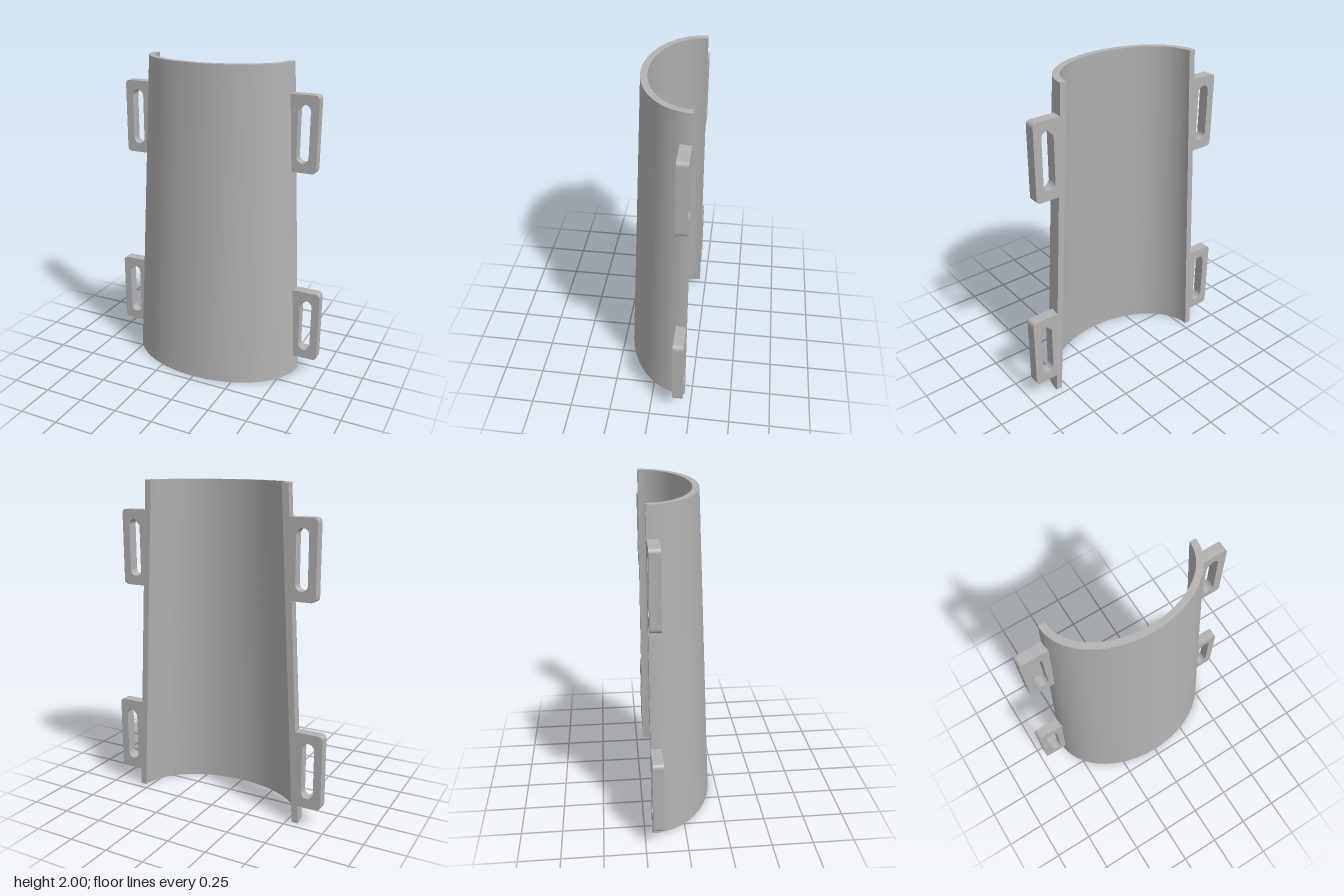
import * as THREE from 'three';
import { mergeGeometries } from 'three/addons/utils/BufferGeometryUtils.js';

const BACK = -0.205, HEIGHT = 2, WALL = 0.04, SEGMENTS = 64;
const BOTTOM = { w: 0.573, d: 0.41 }, TOP = { w: 0.468, d: 0.33 };

// Half-ellipse running from +x round the front to -x
function halfEllipse({ w, d }, y, inset) {
  return Array.from({ length: SEGMENTS + 1 }, (_, i) => {
    const t = (Math.PI * i) / SEGMENTS;
    return [(w - inset) * Math.cos(t), y, BACK + (d - inset) * Math.sin(t)];
  });
}

// Smooth strip of quads between two rows of points
function strip(p, q) {
  const n = p.length, index = [];
  for (let i = 0; i < n - 1; i++) index.push(i, n + i, i + 1, i + 1, n + i, n + i + 1);
  const g = new THREE.BufferGeometry();
  g.setAttribute('position', new THREE.Float32BufferAttribute([...p, ...q].flat(), 3));
  g.setIndex(index);
  g.computeVertexNormals();
  return g;
}

// Tapered half-tube with wall thickness
function shellGeometry() {
  const ob = halfEllipse(BOTTOM, 0, 0), ot = halfEllipse(TOP, HEIGHT, 0);
  const ib = halfEllipse(BOTTOM, 0, WALL), it = halfEllipse(TOP, HEIGHT, WALL);
  const e = SEGMENTS;
  return mergeGeometries([
    strip(ob, ot), // outside
    strip(it, ib), // inside
    strip(ot, it), // top rim
    strip(ib, ob), // bottom rim
    strip([ob[0], ot[0]], [ib[0], it[0]]), // left back edge
    strip([ib[e], it[e]], [ob[e], ot[e]]), // right back edge
  ]);
}

// Slotted strap tab whose inner edge follows the taper of the shell
function tabGeometry(side, outerX, y0) {
  const y1 = y0 + 0.466, r = 0.03;
  const wallX = y => side * (THREE.MathUtils.lerp(BOTTOM.w, TOP.w, y / HEIGHT) - 0.018);
  const X = side * outerX, XR = side * (outerX - r);
  const shape = new THREE.Shape();
  shape.moveTo(wallX(y0), y0);
  shape.lineTo(XR, y0);
  shape.quadraticCurveTo(X, y0, X, y0 + r);
  shape.lineTo(X, y1 - r);
  shape.quadraticCurveTo(X, y1, XR, y1);
  shape.lineTo(wallX(y1), y1);
  shape.closePath();

  const slot = new THREE.Path(), sr = 0.038, cx = side * (outerX - 0.087);
  slot.absarc(cx, y1 - 0.058 - sr, sr, 0, Math.PI, false);
  slot.absarc(cx, y0 + 0.058 + sr, sr, Math.PI, Math.PI * 2, false);
  slot.closePath();
  shape.holes.push(slot);

  const g = new THREE.ExtrudeGeometry(shape, { depth: 0.065, bevelEnabled: false, curveSegments: 14 });
  return g.translate(0, 0, BACK);
}

export function createModel() {
  const group = new THREE.Group();
  group.name = 'strapOnGuard';
  const grey = new THREE.MeshStandardMaterial({ color: 0xb2b2b2 });
  grey.name = 'grey';
  const add = (name, geometry) => {
    const mesh = new THREE.Mesh(geometry, grey);
    mesh.name = name;
    group.add(mesh);
  };

  add('shell', shellGeometry());
  for (const [sideName, side] of [['left', 1], ['right', -1]]) {
    add(`${sideName}UpperStrapTab`, tabGeometry(side, 0.645, 1.355));
    add(`${sideName}LowerStrapTab`, tabGeometry(side, 0.713, 0.115));
  }
  return group;
}
